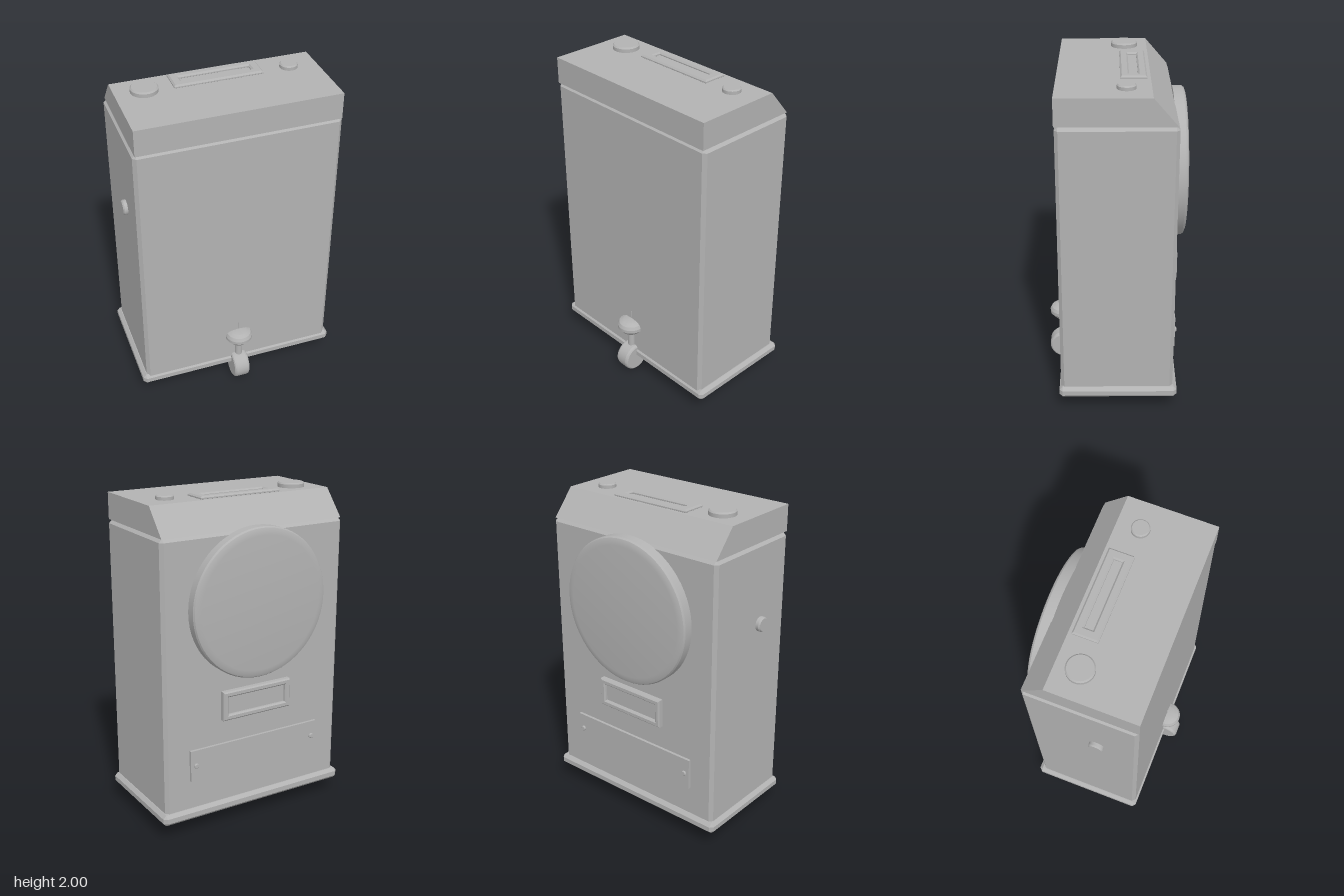
import * as THREE from 'three';
import { toCreasedNormals } from 'three/addons/utils/BufferGeometryUtils.js';
import { ConvexGeometry } from 'three/addons/geometries/ConvexGeometry.js';

const grey = new THREE.MeshStandardMaterial({ color: 0xb2b2b2 });
grey.name = 'grey metal';

// Box with flat chamfers of size c on every edge
function chamferBox(w, h, d, c) {
  const a = w / 2, b = h / 2, e = d / 2, pts = [];
  for (const x of [-1, 1]) for (const y of [-1, 1]) for (const z of [-1, 1]) {
    pts.push(new THREE.Vector3(x * a, y * (b - c), z * (e - c)));
    pts.push(new THREE.Vector3(x * (a - c), y * b, z * (e - c)));
    pts.push(new THREE.Vector3(x * (a - c), y * (b - c), z * e));
  }
  return new ConvexGeometry(pts);
}

// Turned part from [radius, height] pairs, listed bottom to top
function turned(profile, segments = 48) {
  const pts = profile.map(([r, y]) => new THREE.Vector2(r, y));
  return toCreasedNormals(new THREE.LatheGeometry(pts, segments), 0.35);
}

// Round disc with a bevelled outer edge, standing on y = 0
const disc = (r, h, c, segments) => turned([[0, 0], [r, 0], [r, h - c], [r - c, h], [0, h]], segments);

// Rectangular frame with bevelled edges, opening toward +z
function frame(w, h, iw, ih, depth, c) {
  const rect = (P, a, b) => new P([[-a, -b], [a, -b], [a, b], [-a, b]].map(([x, y]) => new THREE.Vector2(x / 2, y / 2)));
  const shape = rect(THREE.Shape, w, h);
  shape.holes.push(rect(THREE.Path, iw, ih));
  const g = new THREE.ExtrudeGeometry(shape, {
    depth: depth - c, bevelEnabled: true, bevelSegments: 1, bevelSize: c, bevelThickness: c, bevelOffset: -c,
  });
  return g;
}

export function createModel() {
  const model = new THREE.Group();
  const add = (name, geometry, x = 0, y = 0, z = 0) => {
    const mesh = new THREE.Mesh(geometry, grey);
    mesh.name = name;
    mesh.position.set(x, y, z);
    model.add(mesh);
    return mesh;
  };

  // Case and base plinth
  add('caseBody', chamferBox(1.22, 1.69, 0.67, 0.02), 0, 0.965, -0.01);
  add('basePlinth', chamferBox(1.27, 0.07, 0.705, 0.02), 0, 0.13, -0.0175);

  // Lid with a sloping back
  const side = new THREE.Shape([[0.328, 1.81], [0.328, 1.97], [-0.2, 1.97], [-0.338, 1.81]]
    .map(([z, y]) => new THREE.Vector2(z, y)));
  const lid = new THREE.ExtrudeGeometry(side, { depth: 1.2, bevelEnabled: false });
  lid.translate(0, 0, -0.6).rotateY(-Math.PI / 2);
  add('lid', lid);

  // Controls on the lid
  add('largeButton', disc(0.08, 0.03, 0.008, 32), -0.43, 1.97, -0.062);
  add('smallButton', disc(0.053, 0.026, 0.007, 32), 0.43, 1.97, -0.062);
  add('slotFrame', frame(0.53, 0.15, 0.42, 0.05, 0.016, 0.009).rotateX(-Math.PI / 2), 0, 1.971, -0.105);

  // Large round dial on the back
  const dial = turned([[0, 0], [0.447, 0], [0.447, 0.058], [0.44, 0.068], [0.425, 0.074], [0.40, 0.077], [0, 0.077]], 64);
  add('dial', dial.rotateX(-Math.PI / 2), 0, 1.382, -0.34);

  // Label holder and plate on the back
  add('labelFrame', frame(0.47, 0.18, 0.4, 0.11, 0.035, 0.008).rotateY(Math.PI), 0, 0.78, -0.345);
  add('labelInsert', new THREE.BoxGeometry(0.42, 0.13, 0.02), 0, 0.78, -0.35);
  add('plate', new THREE.BoxGeometry(0.9, 0.195, 0.02), 0, 0.443, -0.352);
  for (const s of [-1, 1]) {
    add('plateScrew', disc(0.016, 0.012, 0.004, 16).rotateX(-Math.PI / 2), s * 0.415, 0.443, -0.36);
  }

  // Knob on the right side
  add('sideKnob', disc(0.045, 0.028, 0.008, 24).rotateZ(Math.PI / 2), -0.609, 1.32, 0.08);

  // Front fitting: wheel, stem, cap and pin
  const wheel = turned([[0, -0.05], [0.078, -0.05], [0.086, -0.044], [0.09, -0.034],
    [0.09, 0.034], [0.086, 0.044], [0.078, 0.05], [0, 0.05]], 40);
  add('wheel', wheel.rotateZ(Math.PI / 2), 0, 0.09, 0.33);
  add('stem', new THREE.CylinderGeometry(0.023, 0.023, 0.2, 24), 0, 0.23, 0.33);
  add('stemCap', turned([[0, 0.295], [0.06, 0.295], [0.085, 0.325], [0.085, 0.345],
    [0.075, 0.365], [0.05, 0.377], [0, 0.382]], 32), 0, 0, 0.33);
  add('pin', new THREE.CylinderGeometry(0.003, 0.003, 0.06, 8), 0, 0.405, 0.325);

  return model;
}
